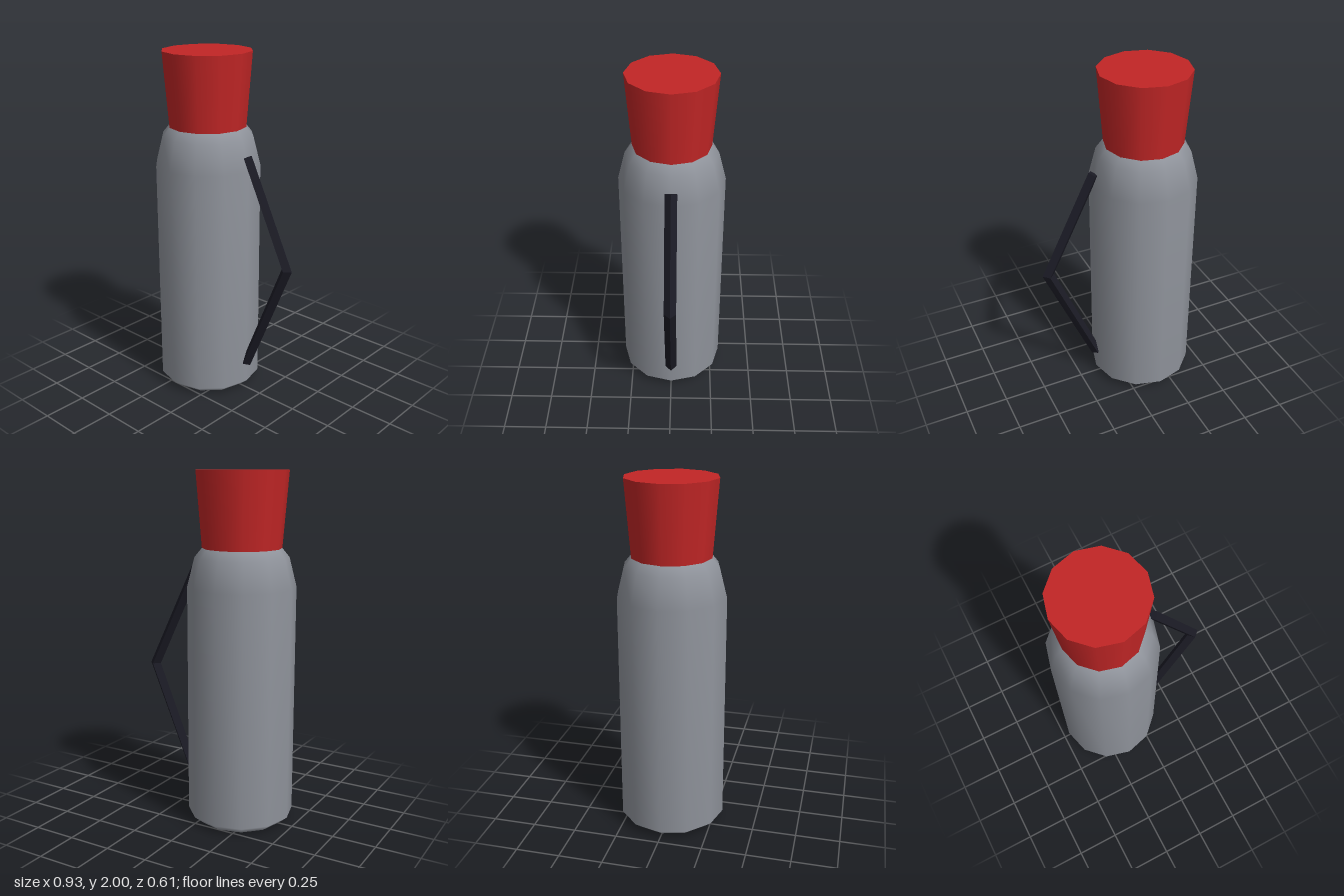
import * as THREE from 'three';

const SIDES = 12;

// Diamond-section bar through a list of [x, y, normalX, normalY] stations, lying in the z = 0 plane
function diamondBar(stations, halfDepth) {
  const pos = [], index = [];
  for (const [x, y, nx, ny] of stations) {
    pos.push(x + nx, y + ny, 0, x, y, halfDepth, x - nx, y - ny, 0, x, y, -halfDepth);
  }
  for (let i = 0; i < stations.length - 1; i++) {
    for (let j = 0; j < 4; j++) {
      const a = i * 4 + j, b = i * 4 + (j + 1) % 4;
      index.push(a, b, a + 4, b, b + 4, a + 4);
    }
  }
  const e = (stations.length - 1) * 4;
  index.push(0, 3, 2, 0, 2, 1, e, e + 1, e + 2, e, e + 2, e + 3);
  const indexed = new THREE.BufferGeometry();
  indexed.setAttribute('position', new THREE.Float32BufferAttribute(pos, 3));
  indexed.setIndex(index);
  const flat = indexed.toNonIndexed();
  flat.computeVertexNormals();
  return flat;
}

export function createModel() {
  const steel = new THREE.MeshStandardMaterial({ color: 0x90949c });
  steel.name = 'steel grey';
  const red = new THREE.MeshStandardMaterial({ color: 0xc22626 });
  red.name = 'cap red';
  const black = new THREE.MeshStandardMaterial({ color: 0x1b1b25 });
  black.name = 'handle black';

  const group = new THREE.Group();
  group.name = 'flask';
  const add = (name, geometry, material, x, y) => {
    const mesh = new THREE.Mesh(geometry, material);
    mesh.name = name;
    mesh.position.set(x, y, 0);
    group.add(mesh);
  };
  const axis = -0.16;

  // Body with chamfered foot and sloping shoulder
  const profile = [[0.25, 0], [0.305, 0.045], [0.305, 1.365], [0.263, 1.53], [0.222, 1.58]]
    .map(([r, y]) => new THREE.Vector2(r, y));
  add('body', new THREE.LatheGeometry(profile, SIDES), steel, axis, 0);

  // Flat base
  add('base', new THREE.CircleGeometry(0.25, SIDES).rotateX(Math.PI / 2), steel, axis, 0);

  // Flaring cap
  add('cap', new THREE.CylinderGeometry(0.255, 0.222, 0.42, SIDES), red, axis, 1.79);

  // Bent handle
  const handle = diamondBar([
    [0.14, 1.447, 0.028, 0.014],
    [0.43, 0.855, 0.035, 0],
    [0.145, 0.175, 0.028, -0.012],
  ], 0.034);
  add('handle', handle, black, 0, 0);

  return group;
}
